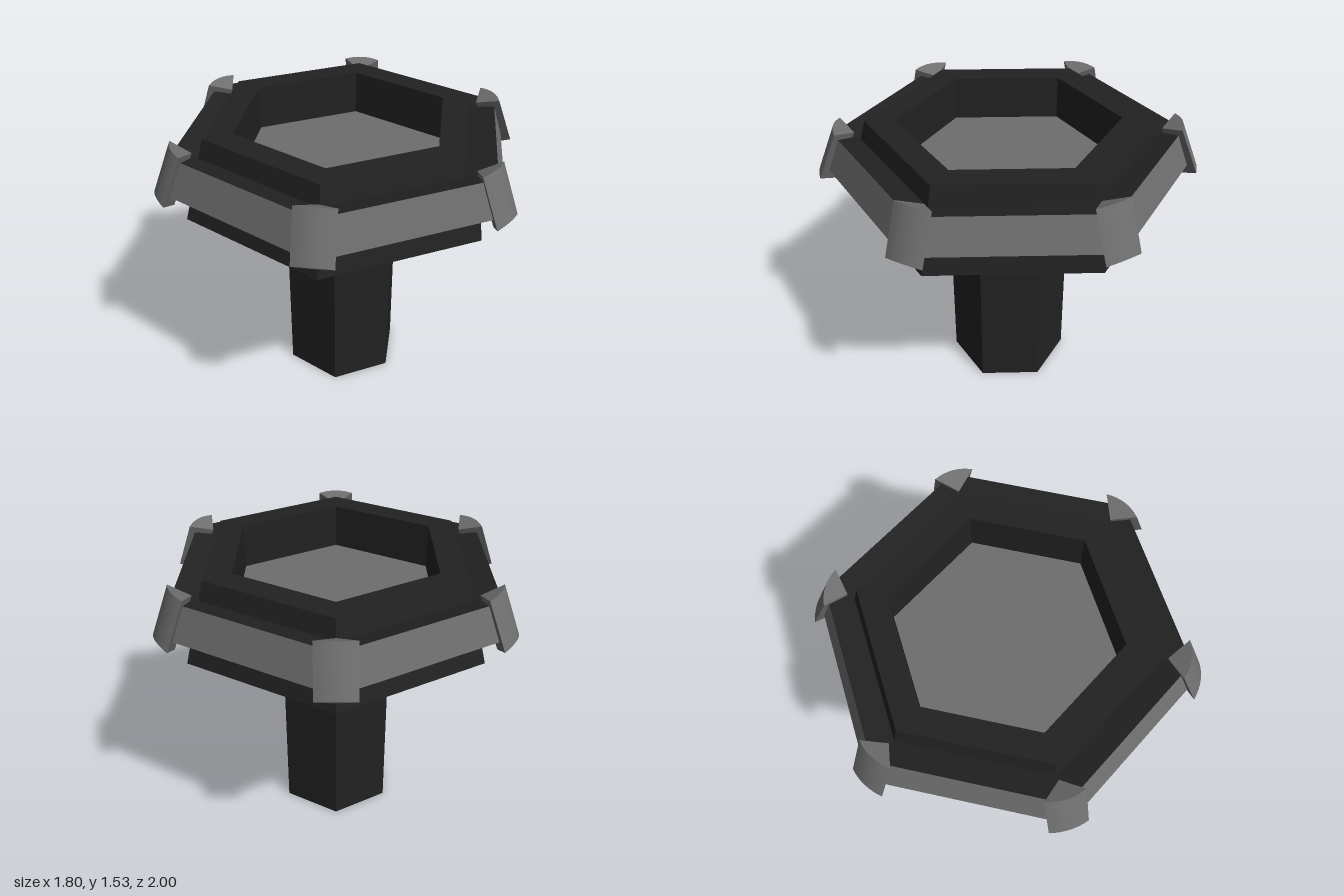
import * as THREE from 'three';
import { toCreasedNormals } from 'three/addons/utils/BufferGeometryUtils.js';

const SIDES = 6;

// Six-sided solid of revolution with flat faces, corners on +z and -z.
function hexLathe(profile) {
  const points = profile.map(([r, y]) => new THREE.Vector2(r, y));
  const geometry = new THREE.LatheGeometry(points, SIDES).toNonIndexed();
  geometry.computeVertexNormals();
  return geometry;
}

// Wedge with a pointed inner edge and rounded outer face, leaning inwards.
function prongGeometry() {
  const halfWidth = 0.1, steps = 8;
  const shape = new THREE.Shape();
  shape.moveTo(0, 0);
  for (let i = 0; i <= steps; i++) {
    const t = (i / steps) * 2 - 1;
    shape.lineTo(t * halfWidth, -(1 - 0.19 * t * t));
  }
  shape.closePath();
  const geometry = new THREE.ExtrudeGeometry(shape, { depth: 1, bevelEnabled: false, steps: 1 });

  // Place depth and height between the four corners of the side outline.
  const lerp = THREE.MathUtils.lerp;
  const p = geometry.attributes.position;
  for (let i = 0; i < p.count; i++) {
    const depth = -p.getY(i), h = p.getZ(i);
    const z = lerp(lerp(0.914, 1.0, depth), lerp(0.797, 0.9, depth), h);
    const y = lerp(lerp(1.198, 1.265, depth), lerp(1.465, 1.51, depth), h);
    p.setXYZ(i, p.getX(i), y, z);
  }
  return toCreasedNormals(geometry, 0.5);
}

export function createModel() {
  const darkMetal = new THREE.MeshStandardMaterial({ color: 0x222222 });
  darkMetal.name = 'dark metal';
  const greyMetal = new THREE.MeshStandardMaterial({ color: 0x6e6e6e });
  greyMetal.name = 'grey metal';

  const model = new THREE.Group();
  model.name = 'hexagonalPedestalBasin';
  const add = (name, geometry, material) => {
    const mesh = new THREE.Mesh(geometry, material);
    mesh.name = name;
    model.add(mesh);
    return mesh;
  };

  // Stem
  add('stem', hexLathe([[0, 0], [0.326, 0], [0.326, 1.05]]), darkMetal);

  // Basin: underside, leaning outer wall, rim and upright inner wall
  add('basin', hexLathe([
    [0.3, 1.047], [0.86, 1.1], [0.74, 1.53], [0.585, 1.53], [0.585, 1.29],
  ]), darkMetal);
  add('basinFloor', hexLathe([[0.585, 1.29], [0, 1.29]]), greyMetal);

  // Collar round the basin, its outer face in grey
  add('collarUnderside', hexLathe([[0.8, 1.225], [0.976, 1.28]]), darkMetal);
  add('collarFace', hexLathe([[0.976, 1.28], [0.912, 1.46]]), greyMetal);
  add('collarTop', hexLathe([[0.912, 1.46], [0.75, 1.425]]), darkMetal);

  // One prong on each corner
  const prong = prongGeometry();
  for (let i = 0; i < SIDES; i++) {
    add('prong' + (i + 1), prong, greyMetal).rotation.y = (i * Math.PI * 2) / SIDES;
  }
  return model;
}
